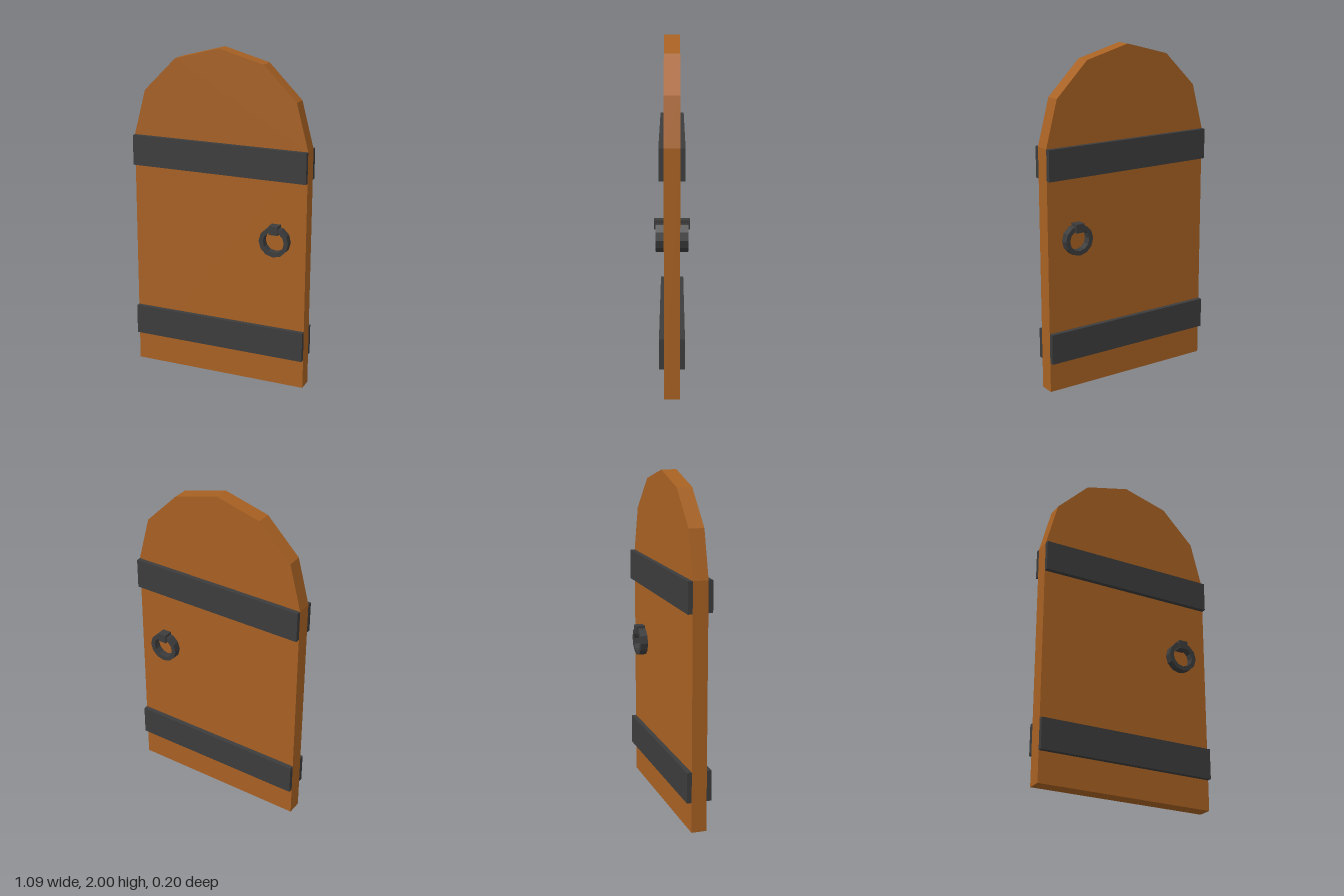
import * as THREE from 'three';

export function createModel() {
  const wood = new THREE.MeshStandardMaterial({ name: 'wood', color: 0xa86123 });
  const iron = new THREE.MeshStandardMaterial({ name: 'iron', color: 0x3c3c3c });
  const model = new THREE.Group();
  model.name = 'archedDoor';

  const R = 0.545;           // half width and arch radius
  const springY = 2 - R;     // height where the arch starts
  const face = 0.045;        // half thickness of the slab

  const add = (name, geometry, material, parent, x = 0, y = 0, z = 0) => {
    const mesh = new THREE.Mesh(geometry, material);
    mesh.name = name;
    mesh.position.set(x, y, z);
    parent.add(mesh);
    return mesh;
  };

  // Regular polygon points around the origin
  const arc = (radius, steps, sweep) => Array.from({ length: steps + 1 }, (_, i) => {
    const a = (i / steps) * sweep;
    return new THREE.Vector2(Math.cos(a) * radius, Math.sin(a) * radius);
  });

  // Slab with a six-sided arched top
  const outline = arc(R, 6, Math.PI).map((p) => p.add(new THREE.Vector2(0, springY)));
  outline.push(new THREE.Vector2(-R, 0), new THREE.Vector2(R, 0));
  const slab = new THREE.ExtrudeGeometry(new THREE.Shape(outline), { depth: face * 2, bevelEnabled: false });
  add('slab', slab, wood, model, 0, 0, -face);

  // Faceted flat ring
  const ringShape = new THREE.Shape(arc(0.091, 12, Math.PI * 2).slice(0, 12));
  ringShape.holes.push(new THREE.Path(arc(0.064, 12, Math.PI * 2).slice(0, 12)));
  const ring = new THREE.ExtrudeGeometry(ringShape, { depth: 0.046, bevelEnabled: false });

  // Matching ironwork on both faces
  for (const side of [1, -1]) {
    const fittings = new THREE.Group();
    fittings.name = side > 0 ? 'frontFittings' : 'backFittings';
    for (const [name, y] of [['lowerBand', 0.273], ['upperBand', 1.364]]) {
      add(name, new THREE.BoxGeometry(R * 2, 0.182, 0.028), iron, fittings, 0, y, side * (face + 0.014));
    }
    add('handleRing', ring, iron, fittings, 0.362, 0.911, side > 0 ? face : -face - 0.046);
    add('handleMount', new THREE.BoxGeometry(0.055, 0.052, 0.056), iron, fittings, 0.362, 0.984, side * (face + 0.028));
    model.add(fittings);
  }
  return model;
}
